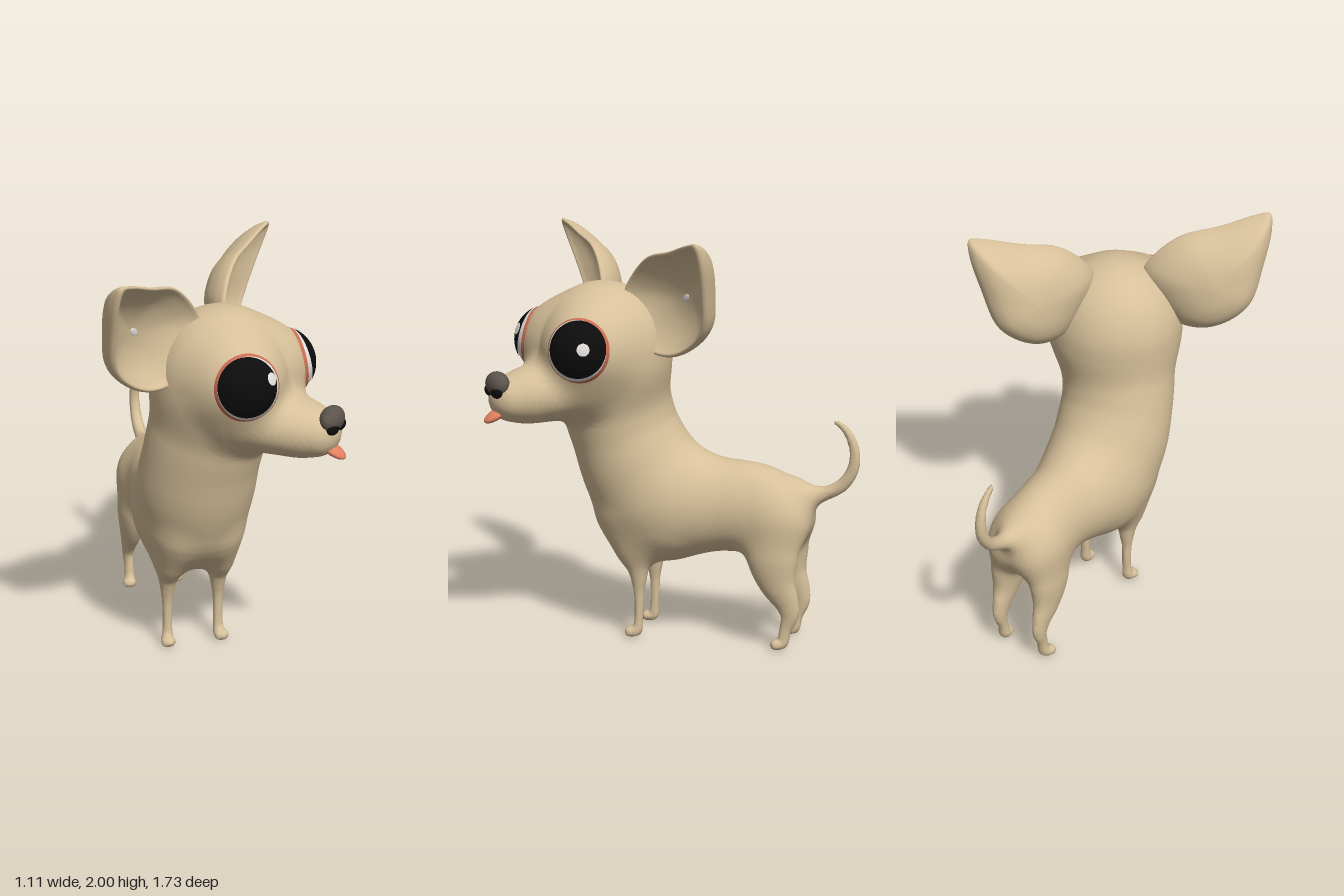
import * as THREE from 'three';
import { mergeVertices } from 'three/addons/utils/BufferGeometryUtils.js';

const V = (x, y, z) => new THREE.Vector3(x, y, z);
const curve = (points, closed = false) => new THREE.CatmullRomCurve3(points, closed);
const paint = (name, color) => {
  const m = new THREE.MeshStandardMaterial({ color });
  m.name = name;
  return m;
};

// Distance to a limb swept through sections [x, y, z, half width in x, radius in y and z]
function limb(list) {
  const n = (list.length - 1) * 8;
  const centre = curve(list.map(([x, y, z]) => V(x, y, z)));
  const size = curve(list.map(([, , , a, b]) => V(a, b, 0)));
  const rings = [], box = new THREE.Box3();
  for (let i = 0; i <= n; i++) {
    const c = centre.getPoint(i / n), r = size.getPoint(i / n);
    rings.push([c.x, c.y, c.z, r.x, r.y]);
    box.expandByPoint(c);
  }
  box.expandByScalar(Math.max(...rings.map((r) => Math.max(r[3], r[4]))) + 0.16);
  const { min, max } = box;
  return (x, y, z) => {
    if (x < min.x || y < min.y || z < min.z || x > max.x || y > max.y || z > max.z) return 1;
    let best = 1;
    for (let i = 0; i < n; i++) {
      const p = rings[i], q = rings[i + 1];
      const ux = q[0] - p[0], uy = q[1] - p[1], uz = q[2] - p[2];
      const along = ((x - p[0]) * ux + (y - p[1]) * uy + (z - p[2]) * uz) / (ux * ux + uy * uy + uz * uz);
      const t = Math.min(Math.max(along, 0), 1);
      const a = p[3] + t * (q[3] - p[3]), b = p[4] + t * (q[4] - p[4]);
      const dx = (x - p[0] - t * ux) / a, dy = (y - p[1] - t * uy) / b, dz = (z - p[2] - t * uz) / b;
      best = Math.min(best, (Math.sqrt(dx * dx + dy * dy + dz * dz) - 1) * Math.min(a, b));
    }
    return best;
  };
}

// Minimum with a soft fillet of size k where two parts meet
const blend = (a, b, k) => {
  const h = Math.max(k - Math.abs(a - b), 0) / k;
  return Math.min(a, b) - h * h * k * 0.25;
};

// Smooth mesh over the zero level of a field inside a box
function meshField(field, lo, hi, cell) {
  const [nx, ny, nz] = lo.map((v, a) => Math.ceil((hi[a] - v) / cell) + 1);
  const stride = [1, nx, nx * ny], values = new Float32Array(nx * ny * nz);
  const eachPoint = (from, visit) => {
    for (let k = from; k < nz - from; k++)
      for (let j = from; j < ny - from; j++)
        for (let i = from; i < nx - from; i++) visit(i, j, k, i + j * nx + k * nx * ny);
  };
  eachPoint(0, (i, j, k, g) => {
    values[g] = field(lo[0] + i * cell, lo[1] + j * cell, lo[2] + k * cell);
  });
  const vertex = new Int32Array(values.length).fill(-1), pos = [], index = [];
  eachPoint(0, (i, j, k, g) => {
    if (i === nx - 1 || j === ny - 1 || k === nz - 1) return;
    const sum = [0, 0, 0];
    let hits = 0;
    for (let c = 0; c < 8; c++) {
      const bits = [c & 1, (c >> 1) & 1, c >> 2];
      const at = g + bits[0] + bits[1] * nx + bits[2] * nx * ny;
      for (let a = 0; a < 3; a++) {
        if (bits[a]) continue;
        const v = values[at], w = values[at + stride[a]];
        if ((v < 0) === (w < 0)) continue;
        for (let b = 0; b < 3; b++) sum[b] += b === a ? v / (v - w) : bits[b];
        hits++;
      }
    }
    if (!hits) return;
    vertex[g] = pos.length / 3;
    [i, j, k].forEach((n, a) => pos.push(lo[a] + (n + sum[a] / hits) * cell));
  });
  eachPoint(1, (i, j, k, g) => {
    for (let a = 0; a < 3; a++) {
      if ((values[g] < 0) === (values[g + stride[a]] < 0)) continue;
      const b = stride[(a + 1) % 3], c = stride[(a + 2) % 3];
      const q = [g - b - c, g - c, g, g - b].map((n) => vertex[n]);
      if (values[g] >= 0) q.reverse();
      index.push(q[0], q[1], q[2], q[0], q[2], q[3]);
    }
  });
  const geo = new THREE.BufferGeometry();
  geo.setAttribute('position', new THREE.Float32BufferAttribute(pos, 3));
  geo.setIndex(index);
  geo.computeVertexNormals();
  return geo;
}

const HEAD = { x: 0.08, z: 0.4, turn: Math.PI / 4 };

// Body, legs, tail and head as one blended skin
function bodyField() {
  const chest = limb([
    [0.06, 1.36, 0.37, 0.285, 0.265], [0.035, 1.20, 0.36, 0.285, 0.268], [0.01, 1.03, 0.32, 0.282, 0.265],
    [0, 0.86, 0.255, 0.285, 0.283], [0, 0.72, 0.19, 0.272, 0.29], [0, 0.63, 0.165, 0.245, 0.242],
  ]);
  const barrel = limb([
    [0, 0.665, 0.02, 0.215, 0.238], [0, 0.67, -0.08, 0.21, 0.236], [0, 0.675, -0.18, 0.195, 0.23],
    [0, 0.67, -0.34, 0.175, 0.22], [0, 0.655, -0.44, 0.175, 0.195],
  ]);
  const frontLeg = limb([
    [0.12, 0.60, 0.27, 0.085, 0.13], [0.128, 0.46, 0.235, 0.072, 0.10], [0.128, 0.36, 0.215, 0.047, 0.055],
    [0.13, 0.22, 0.21, 0.026, 0.025], [0.13, 0.10, 0.212, 0.025, 0.022], [0.133, 0.035, 0.222, 0.03, 0.028],
    [0.137, 0.027, 0.255, 0.038, 0.027],
  ]);
  const hindLeg = limb([
    [0.10, 0.60, -0.46, 0.085, 0.14], [0.115, 0.46, -0.46, 0.077, 0.125], [0.12, 0.34, -0.485, 0.056, 0.09],
    [0.12, 0.24, -0.535, 0.036, 0.06], [0.12, 0.18, -0.55, 0.029, 0.045], [0.12, 0.10, -0.53, 0.025, 0.03],
    [0.122, 0.035, -0.515, 0.03, 0.028], [0.13, 0.027, -0.485, 0.037, 0.027],
  ]);
  const tail = limb([
    [0, 0.74, -0.54, 0.07, 0.07], [0, 0.752, -0.63, 0.045, 0.045], [0, 0.77, -0.70, 0.034, 0.034],
    [0, 0.815, -0.775, 0.031, 0.031], [0, 0.90, -0.825, 0.028, 0.028], [0, 1.0, -0.825, 0.024, 0.024],
    [0, 1.08, -0.785, 0.019, 0.019], [0, 1.115, -0.74, 0.013, 0.013],
  ]);
  // Head parts in the head's own directions
  const skull = limb([[0, 1.40, 0, 0.33, 0.325], [0, 1.43, 0, 0.33, 0.33]]);
  const socket = limb([[0.07, 1.435, 0.07, 0.214, 0.214], [0.14, 1.45, 0.14, 0.214, 0.214]]);
  const muzzle = limb([
    [0, 1.28, 0.15, 0.25, 0.175], [0, 1.25, 0.31, 0.195, 0.148], [0, 1.235, 0.41, 0.16, 0.134],
    [0, 1.228, 0.48, 0.13, 0.113],
  ]);
  const cos = Math.cos(HEAD.turn), sin = Math.sin(HEAD.turn);
  return (x, y, z) => {
    const side = Math.abs(x), dx = x - HEAD.x, dz = z - HEAD.z;
    const hx = Math.abs(dx * cos - dz * sin), hz = dx * sin + dz * cos;
    return [frontLeg(side, y, z), hindLeg(side, y, z), tail(x, y, z), skull(hx, y, hz), socket(hx, y, hz),
      muzzle(hx, y, hz)].reduce((d, part) => blend(d, part, 0.07), blend(chest(x, y, z), barrel(x, y, z), 0.15));
  };
}

// Cupped ear: one outline scaled along a profile, from the hollow over the rim to the back
function earGeometry(s) {
  const rows = 40, cols = 72, pos = [], index = [];
  const outline = curve([
    [0.12, 1.71], [0.18, 1.81], [0.30, 1.90], [0.48, 1.94], [0.65, 1.985], [0.72, 1.99], [0.725, 1.93],
    [0.68, 1.76], [0.615, 1.58], [0.50, 1.475], [0.38, 1.43], [0.27, 1.45], [0.16, 1.58],
  ].map(([x, y]) => V(x, y, 0)), true);
  const cup = new THREE.SplineCurve([
    [0, -0.11], [0.3, -0.103], [0.6, -0.075], [0.85, -0.03], [0.95, -0.004], [1, -0.012],
    [0.99, -0.032], [0.9, -0.075], [0.7, -0.125], [0.4, -0.158], [0, -0.17],
  ].map(([f, z]) => new THREE.Vector2(f, z)));
  for (let i = 0; i <= rows; i++)
    for (let j = 0; j < cols; j++) {
      const p = cup.getPoint(i / rows), q = outline.getPoint(j / cols);
      const x = 0.42 + (q.x - 0.42) * p.x, y = 1.7 + (q.y - 1.7) * p.x;
      pos.push(s * x, y, -0.06 - 0.1 * (x - 0.16) - 0.65 * (1.95 - y) * (x - 0.2) + p.y);
      if (i === rows) continue;
      const a = i * cols + j, b = i * cols + ((j + 1) % cols);
      index.push(a, b, a + cols, b, b + cols, a + cols);
    }
  if (s < 0) index.reverse();
  const geo = new THREE.BufferGeometry();
  geo.setAttribute('position', new THREE.Float32BufferAttribute(pos, 3));
  geo.setIndex(index);
  const welded = mergeVertices(geo, 1e-5);
  welded.computeVertexNormals();
  return welded;
}

export function createModel() {
  const fur = paint('tan fur', 0xd6bf99), black = paint('black', 0x0c0c0c), white = paint('eye white', 0xe6e2de);
  const coral = paint('coral rim', 0xcb6e53), pink = paint('tongue pink', 0xe0805f), grey = paint('nose grey', 0x5c544b);
  const model = new THREE.Group();
  model.name = 'dog';
  const add = (parent, name, geo, mat, x = 0, y = 0, z = 0) => {
    const mesh = new THREE.Mesh(geo, mat);
    mesh.name = name;
    mesh.position.set(x, y, z);
    parent.add(mesh);
    return mesh;
  };
  const ball = (rx, ry, rz) => new THREE.SphereGeometry(1, 40, 28).scale(rx, ry, rz);
  add(model, 'body', meshField(bodyField(), [-0.4, -0.04, -0.92], [0.62, 1.82, 0.92], 0.0135), fur);

  // Face, turned to the dog's left
  const head = new THREE.Group();
  head.name = 'head';
  head.position.set(HEAD.x, 0, HEAD.z);
  head.rotation.y = HEAD.turn;
  model.add(head);
  add(head, 'nose', ball(0.088, 0.06, 0.052), grey, 0, 1.302, 0.555);
  add(head, 'tongue', ball(0.048, 0.023, 0.075), pink, 0, 1.16, 0.56).rotation.x = 0.5;

  // Eyes are layered caps on a bulging ball, looking out to each side
  const cap = (r, from, to) =>
    new THREE.SphereGeometry(r, 48, 16, 0, Math.PI * 2, from, to - from).rotateX(Math.PI / 2);
  for (const s of [1, -1]) {
    const side = s > 0 ? 'left' : 'right';
    add(head, side + 'Nostril', ball(0.046, 0.031, 0.026), black, s * 0.037, 1.271, 0.576);
    const eye = new THREE.Group();
    eye.name = side + 'Eye';
    eye.position.y = 1.42;
    eye.rotation.set(-0.15, (s * Math.PI) / 4, 0, 'YXZ');
    head.add(eye);
    const layer = (name, geo, mat, tiltX = 0, tiltY = 0) =>
      add(eye, name, geo, mat, 0, 0, 0.285).rotation.set(tiltX, tiltY, 0, 'YXZ');
    layer('eyeball', cap(0.165, 0, 1.2), white);
    layer('eyeRim', cap(0.168, 1.02, 1.15), coral);
    layer('pupil', cap(0.1695, 0, 0.93), black, -0.06, s * 0.08);
    layer('eyeGlint', cap(0.172, 0, 0.175), white, s > 0 ? -0.04 : -0.24, s > 0 ? 0.33 : 0.63);
    add(head, side + 'Ear', earGeometry(s), fur);
    add(head, side + 'EarGlint', ball(0.028, 0.015, 0.004), white, s * 0.42, 1.71, -0.227)
      .rotation.set(0.14, s * 0.26, s * 0.6);
  }
  return model;
}
